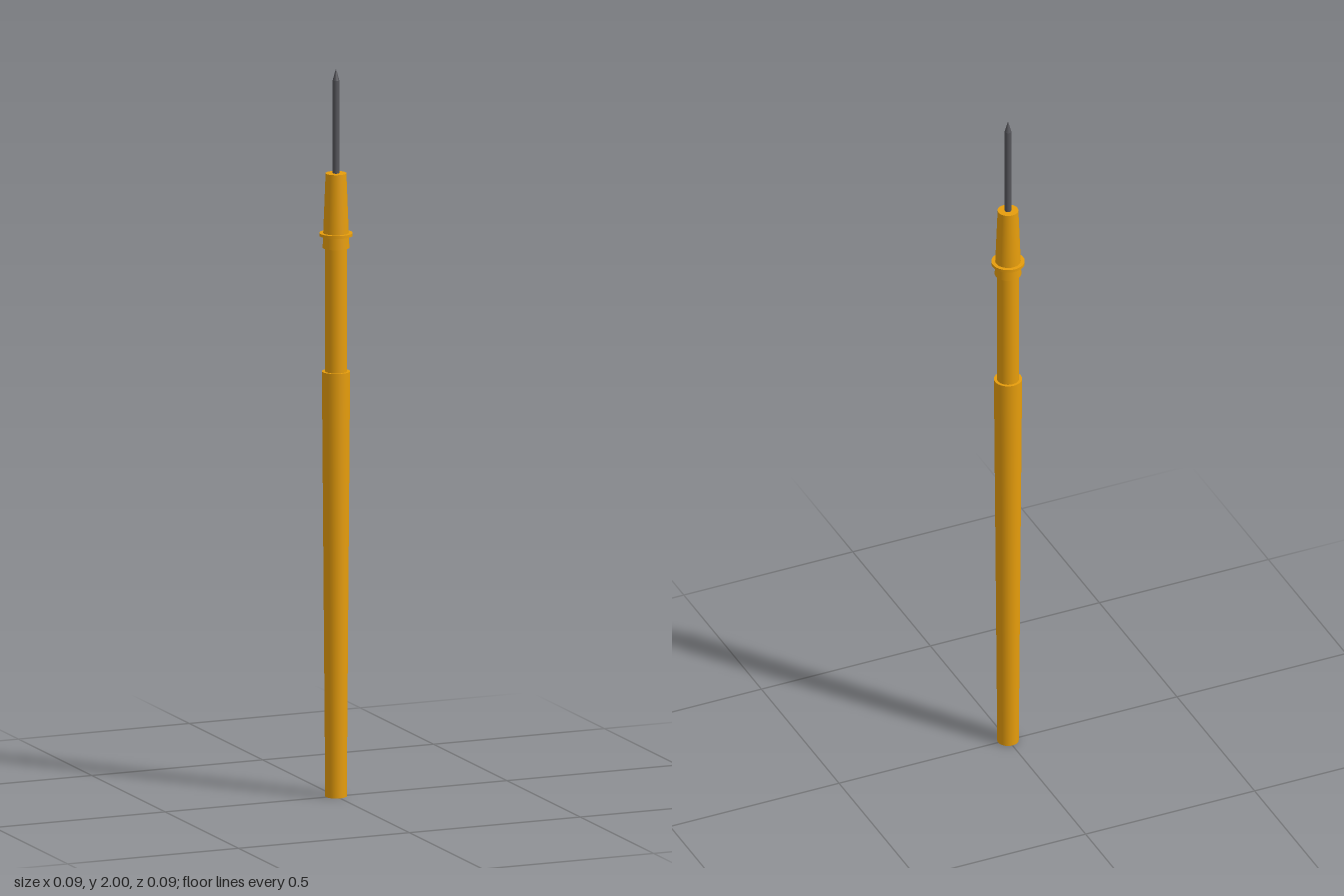
import * as THREE from 'three';

const SEGMENTS = 32;

export function createModel() {
  const model = new THREE.Group();
  const amber = new THREE.MeshStandardMaterial({ color: 0xe69d0c });
  const steel = new THREE.MeshStandardMaterial({ color: 0x55555a });

  // Upright round part between two heights, with its own radius at each end
  function addRound(name, y0, y1, r0, r1, material) {
    const geometry = new THREE.CylinderGeometry(r1, r0, y1 - y0, SEGMENTS);
    const mesh = new THREE.Mesh(geometry, material);
    mesh.name = name;
    mesh.position.y = (y0 + y1) / 2;
    model.add(mesh);
  }

  // Tapered grip, slimmer towards the bottom
  addRound('handle', 0, 1.17, 0.029, 0.038, amber);
  // Slim straight neck above the grip
  addRound('neck', 1.16, 1.53, 0.03, 0.03, amber);
  // Nose cone with a thin finger guard around it
  addRound('noseCone', 1.51, 1.715, 0.036, 0.028, amber);
  addRound('fingerGuard', 1.543, 1.551, 0.045, 0.045, amber);

  // Metal needle and its point
  addRound('needle', 1.7, 1.97, 0.009, 0.009, steel);
  addRound('needleTip', 1.97, 2, 0.009, 0.001, steel);

  return model;
}
